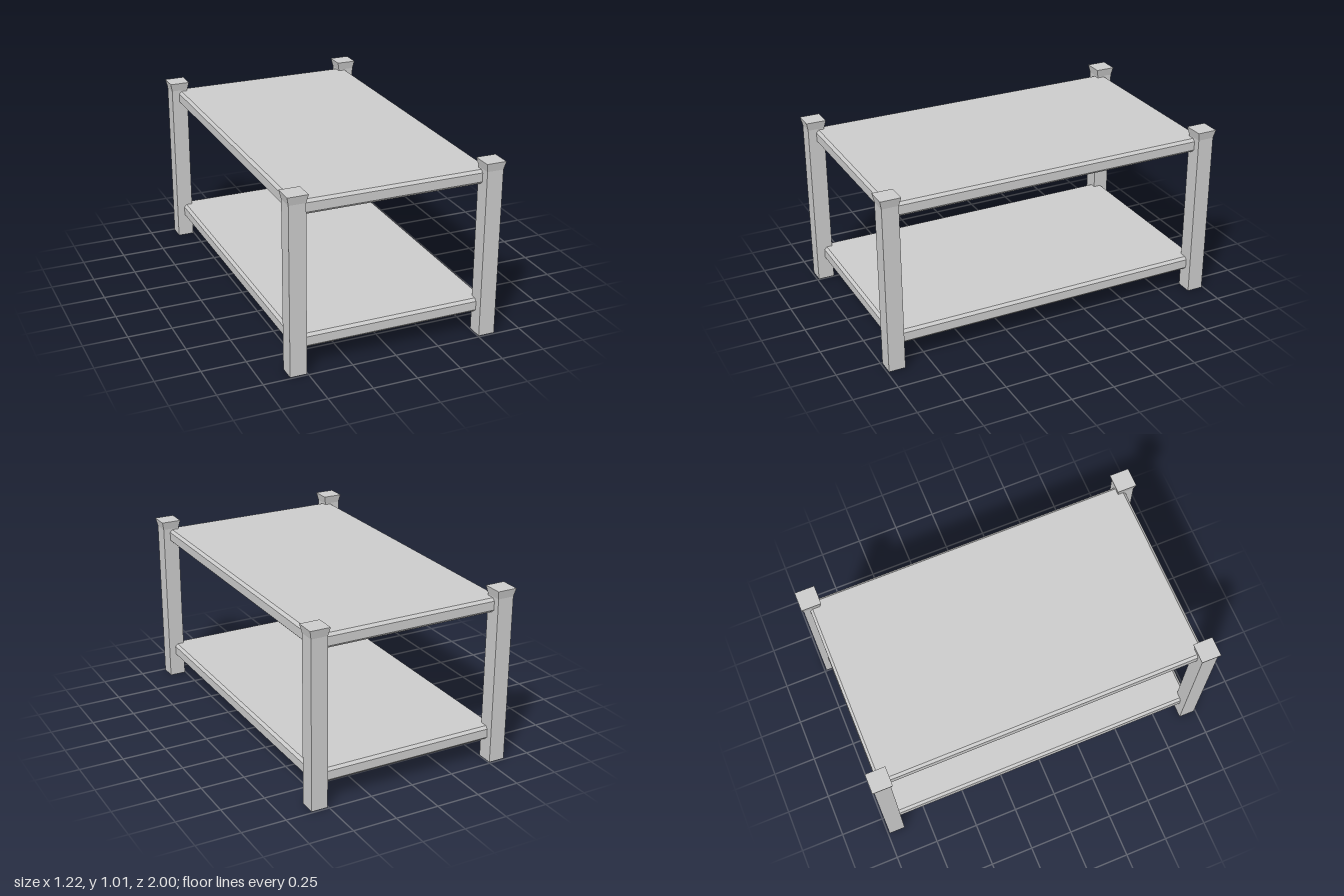
import * as THREE from 'three';

const material = new THREE.MeshStandardMaterial({ color: 0xcccccc, flatShading: true });

// Square block standing on y = 0 whose width may change from bottom to top
function squareBlock(topWidth, bottomWidth, height) {
  const g = new THREE.CylinderGeometry(topWidth / Math.SQRT2, bottomWidth / Math.SQRT2, height, 4);
  return g.rotateY(Math.PI / 4).translate(0, height / 2, 0);
}

// Flat board with chamfered upper and lower edges, standing on y = 0
function chamferedBoard(width, height, depth, chamfer) {
  const w = width / 2 - chamfer;
  const d = depth / 2 - chamfer;
  const outline = new THREE.Shape([
    new THREE.Vector2(-w, -d), new THREE.Vector2(w, -d),
    new THREE.Vector2(w, d), new THREE.Vector2(-w, d),
  ]);
  const g = new THREE.ExtrudeGeometry(outline, {
    depth: height - 2 * chamfer,
    bevelThickness: chamfer,
    bevelSize: chamfer,
    bevelSegments: 1,
  });
  return g.rotateX(-Math.PI / 2).translate(0, chamfer, 0);
}

export function createModel() {
  const model = new THREE.Group();
  model.name = 'table';

  const add = (parent, name, geometry, y = 0) => {
    const mesh = new THREE.Mesh(geometry, material);
    mesh.name = name;
    mesh.position.y = y;
    parent.add(mesh);
    return mesh;
  };

  // Four corner legs with flared caps
  const post = squareBlock(0.094, 0.094, 0.96);
  const cap = squareBlock(0.114, 0.094, 0.047);
  for (const [side, x] of [['Left', 0.552], ['Right', -0.552]]) {
    for (const [end, z] of [['front', 0.943], ['back', -0.943]]) {
      const leg = new THREE.Group();
      leg.name = `${end}${side}Leg`;
      leg.position.set(x, 0, z);
      add(leg, 'post', post);
      add(leg, 'cap', cap, 0.96);
      model.add(leg);
    }
  }

  // Tabletop and lower shelf share the same board
  const board = chamferedBoard(1.114, 0.08, 1.897, 0.015);
  board.translate(0.002, 0, -0.006);
  add(model, 'tabletop', board, 0.873);
  add(model, 'lowerShelf', board, 0.123);

  return model;
}
